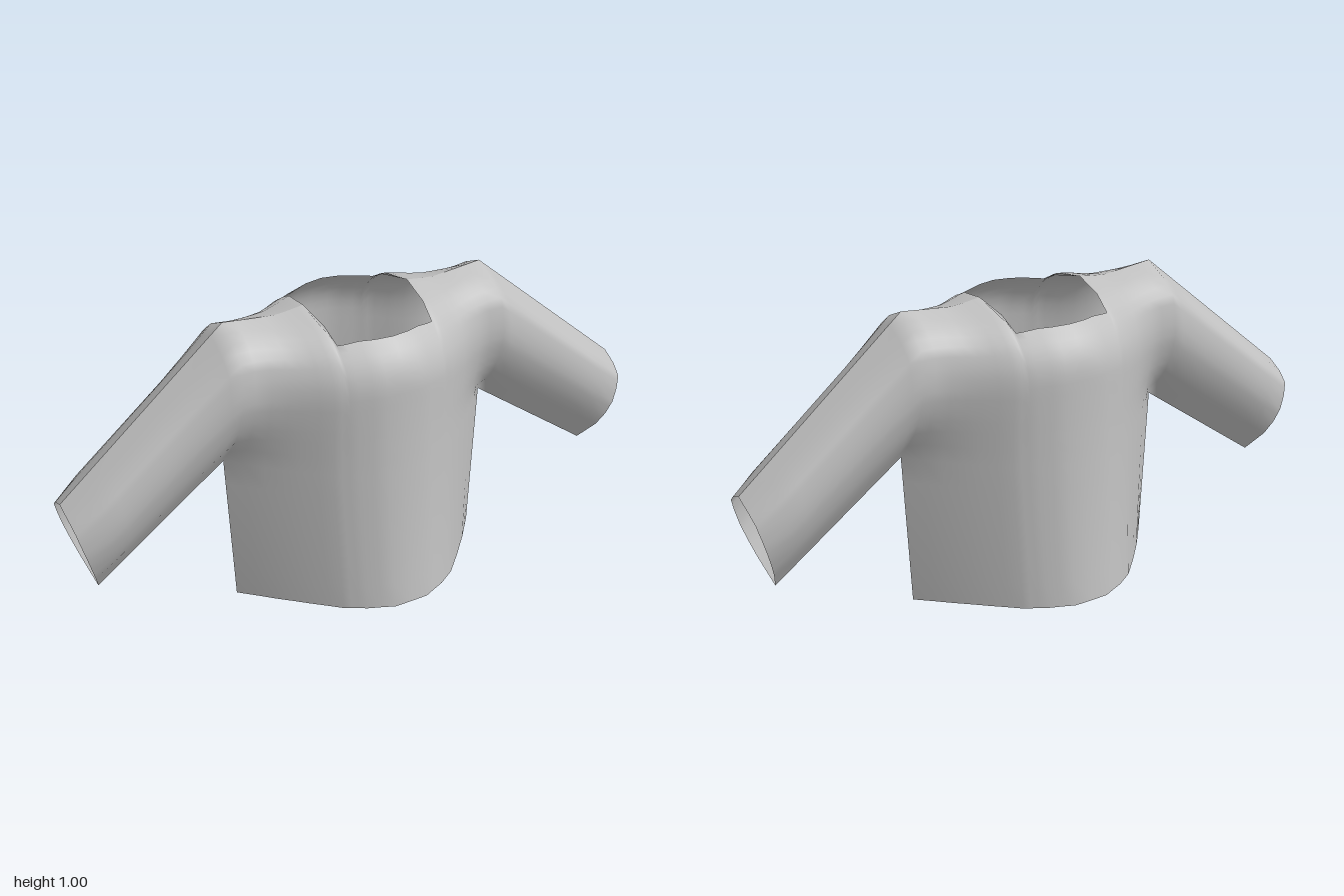
import * as THREE from 'three';
import { mergeGeometries, mergeVertices } from 'three/addons/utils/BufferGeometryUtils.js';

const UNDERARM = 0.52;

// linear interpolation through [input, output] pairs
function ramp(points, k) {
  for (let i = 1; i < points.length; i++) {
    const [a, va] = points[i - 1], [b, vb] = points[i];
    if (k <= b) return va + (vb - va) * Math.max(0, (k - a) / (b - a));
  }
  return points[points.length - 1][1];
}

// neckline and shoulder height, from the centre (0) to the sleeve seam (1)
const topEdge = [[0, 0.942], [0.2, 0.94], [0.36, 0.93], [0.38, 0.968], [0.405, 0.99], [0.6, 0.978], [0.8, 0.987], [1, 0.997]];
// half width of the body by height
const halfWidth = [[0, 0.447], [UNDERARM, 0.47], [0.997, 0.45]];
// chest depth from the centre (0) to the side seam (1)
const chestProfile = [[0, 1], [0.13, 0.995], [0.31, 0.89], [0.45, 0.77], [0.62, 0.55], [0.8, 0.3], [1, 0]];
// sleeve depth from shoulder to cuff
const sleeveDepth = [[0, 0.147], [0.15, 0.135], [0.3, 0.127], [0.85, 0.123], [1, 0.108]];
// teardrop outline of a sleeve from its top (0) to its underside (1)
const sleeveProfile = [[0, 0], [0.08, 0.54], [0.17, 0.9], [0.3, 0.99], [0.45, 1], [0.6, 0.87], [0.76, 0.62], [1, 0]];

// rows: first the armhole, then the lower body
const armRows = [0, 0.04, 0.08, 0.12, 0.17, 0.23, 0.3, 0.37, 0.45, 0.52, 0.6, 0.68, 0.76, 0.88, 1];
const ARM_ROWS = armRows.length - 1, LOW_ROWS = 6;

function bodyPoint(t, j) {
  const a = Math.abs(t), top = ramp(topEdge, a), hem = 0.048 * (1 - a * a);
  const v = armRows[Math.min(j, ARM_ROWS)];
  const y = j <= ARM_ROWS
    ? top + (UNDERARM - top) * v
    : UNDERARM + (hem - UNDERARM) * (j - ARM_ROWS) / LOW_ROWS;
  // rounded shoulder, curved chest, swelling toward the sleeve
  const crown = a < 0.4 ? 1.013 - 0.023 * a / 0.4 : top;
  const e = Math.min(1, Math.max(0, (crown - y) / 0.21));
  const round = Math.sqrt(1 - (1 - e) ** 2);
  const chest = (0.304 + 0.067 * ((1 - y) / 0.95) ** 2) * ramp(chestProfile, a) * round;
  const shoulder = sleeveDepth[0][1] * ramp(sleeveProfile, v) * a;
  return [t * ramp(halfWidth, y), y, Math.hypot(chest, shoulder)];
}

function sleevePoint(side, u, j) {
  const v = armRows[j], [x0, y0] = bodyPoint(1, j);
  const x1 = 1 - 0.09 * Math.pow(v, 1.25), y1 = 0.53 - 0.33 * v;
  return [side * (x0 + (x1 - x0) * u), y0 + (y1 - y0) * u, ramp(sleeveDepth, u) * ramp(sleeveProfile, v)];
}

// sheet of quads from columns running toward +x and rows running down
function sheet(columns, rows, point) {
  const positions = [], index = [], n = rows + 1;
  columns.forEach((c, i) => {
    for (let j = 0; j <= rows; j++) {
      positions.push(...point(c, j));
      if (i && j) {
        const d = i * n + j, b = d - n;
        index.push(b - 1, b, d, b - 1, d, d - 1);
      }
    }
  });
  const g = new THREE.BufferGeometry();
  g.setAttribute('position', new THREE.Float32BufferAttribute(positions, 3));
  g.setIndex(index);
  return g;
}

export function createModel() {
  const cloth = new THREE.MeshStandardMaterial({ color: 0xc0c0c0, side: THREE.DoubleSide });
  cloth.name = 'grey cloth';

  // body and both sleeves joined into one smooth half
  const half = [0.13, 0.22, 0.31, 0.36, 0.38, 0.405, 0.45, 0.53, 0.62, 0.7, 0.8, 0.9, 1];
  const across = [...half.map(t => -t).reverse(), 0, ...half];
  const along = [0, 0.07, 0.15, 0.3, 0.45, 0.6, 0.75, 0.85, 1];
  const panel = mergeVertices(mergeGeometries([
    sheet(across, ARM_ROWS + LOW_ROWS, bodyPoint),
    sheet(along, ARM_ROWS, (u, j) => sleevePoint(1, u, j)),
    sheet([...along].reverse(), ARM_ROWS, (u, j) => sleevePoint(-1, u, j)),
  ]), 1e-5);
  panel.computeVertexNormals();

  // front and back halves meet in a sharp seam
  const shirt = new THREE.Group();
  shirt.name = 'shirt';
  ['frontHalf', 'backHalf'].forEach((name, i) => {
    const mesh = new THREE.Mesh(panel, cloth);
    mesh.name = name;
    mesh.rotation.y = i * Math.PI;
    shirt.add(mesh);
  });
  return shirt;
}
